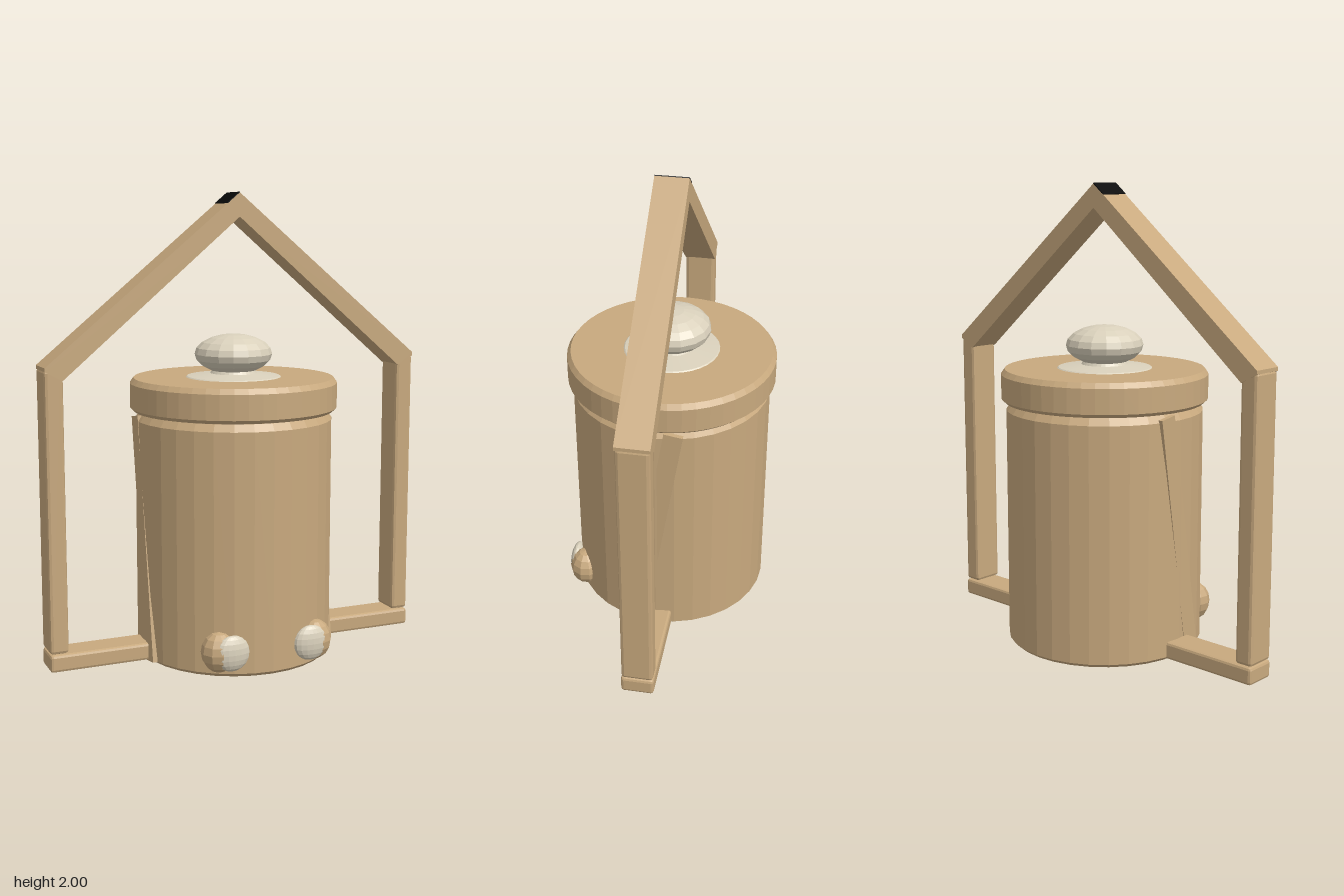
import * as THREE from 'three';
import { RoundedBoxGeometry } from 'three/addons/geometries/RoundedBoxGeometry.js';

const mat = (name, color) => new THREE.MeshStandardMaterial({ name, color, flatShading: true });

export function createModel() {
  const model = new THREE.Group();
  const tan = mat('tan', 0xc8a97e);
  const cream = mat('cream', 0xd9d0bb);
  const black = mat('black', 0x080808);

  const add = (name, geometry, material, x = 0, y = 0, z = 0) => {
    const mesh = new THREE.Mesh(geometry, material);
    mesh.name = name;
    mesh.position.set(x, y, z);
    model.add(mesh);
    return mesh;
  };
  const lathe = (points, segments) =>
    new THREE.LatheGeometry(points.map(([r, y]) => new THREE.Vector2(r, y)), segments);
  const ellipsoid = (rx, ry, rz, w = 16, h = 10) =>
    new THREE.SphereGeometry(1, w, h).scale(rx, ry, rz);

  // Canister and lid
  add('body', lathe([[0, 0.02], [0.41, 0.02], [0.425, 0.035], [0.425, 1.045],
    [0.405, 1.075], [0.405, 1.1]], 32), tan);
  add('lid', lathe([[0, 1.08], [0.43, 1.08], [0.446, 1.095], [0.446, 1.2],
    [0.43, 1.222], [0, 1.222]], 48), tan);

  // Knob with its flared collar
  add('knobCollar', lathe([[0.205, 1.222], [0.2, 1.226], [0.1, 1.238], [0.08, 1.27], [0, 1.27]], 32), cream);
  add('knob', ellipsoid(0.167, 0.086, 0.167), cream, 0, 1.32, 0);

  // Base bar
  add('baseBar', new RoundedBoxGeometry(1.7, 0.075, 0.14, 1, 0.012), tan, 0, 0.0625, 0);

  // Peaked handle
  const peak = new THREE.Shape([[0.848, 1.3], [0, 2], [-0.848, 1.3], [-0.848, 1.285],
    [-0.775, 1.245], [0, 1.9], [0.775, 1.245], [0.848, 1.285]]
    .map(([x, y]) => new THREE.Vector2(x, y)));
  add('handlePeak', new THREE.ExtrudeGeometry(peak, { depth: 0.14, bevelEnabled: false }), tan, 0, 0, -0.07);

  // Dark patch lying on one slope beside the apex
  const patch = add('apexPatch', new THREE.BoxGeometry(0.071, 0.004, 0.14), black, -0.0275, 1.9785, 0);
  patch.rotation.z = Math.atan2(0.7, 0.848);

  for (const side of [1, -1]) {
    // Upright of the handle
    add('handlePost', new RoundedBoxGeometry(0.08, 1.19, 0.135, 1, 0.014), tan, side * 0.81, 0.697, 0);

    // Slanted strap against the canister wall
    const strap = add('strap', new THREE.BoxGeometry(0.02, 1.05, 0.08), tan, side * 0.414, 0.545, 0.005);
    strap.rotation.x = -0.16;

    // Front stub with a rounded cap
    const stub = add('stub', ellipsoid(0.075, 0.085, 0.07, 10, 8), tan, side * 0.22, 0.13, 0.365);
    stub.rotation.y = side * 0.45;
    add('stubCap', ellipsoid(0.076, 0.076, 0.032), cream, side * 0.178, 0.132, 0.41);

    // Low foot under the base
    add('foot', ellipsoid(0.08, 0.03, 0.08), tan, side * 0.18, 0.03, 0.25);
  }
  return model;
}
